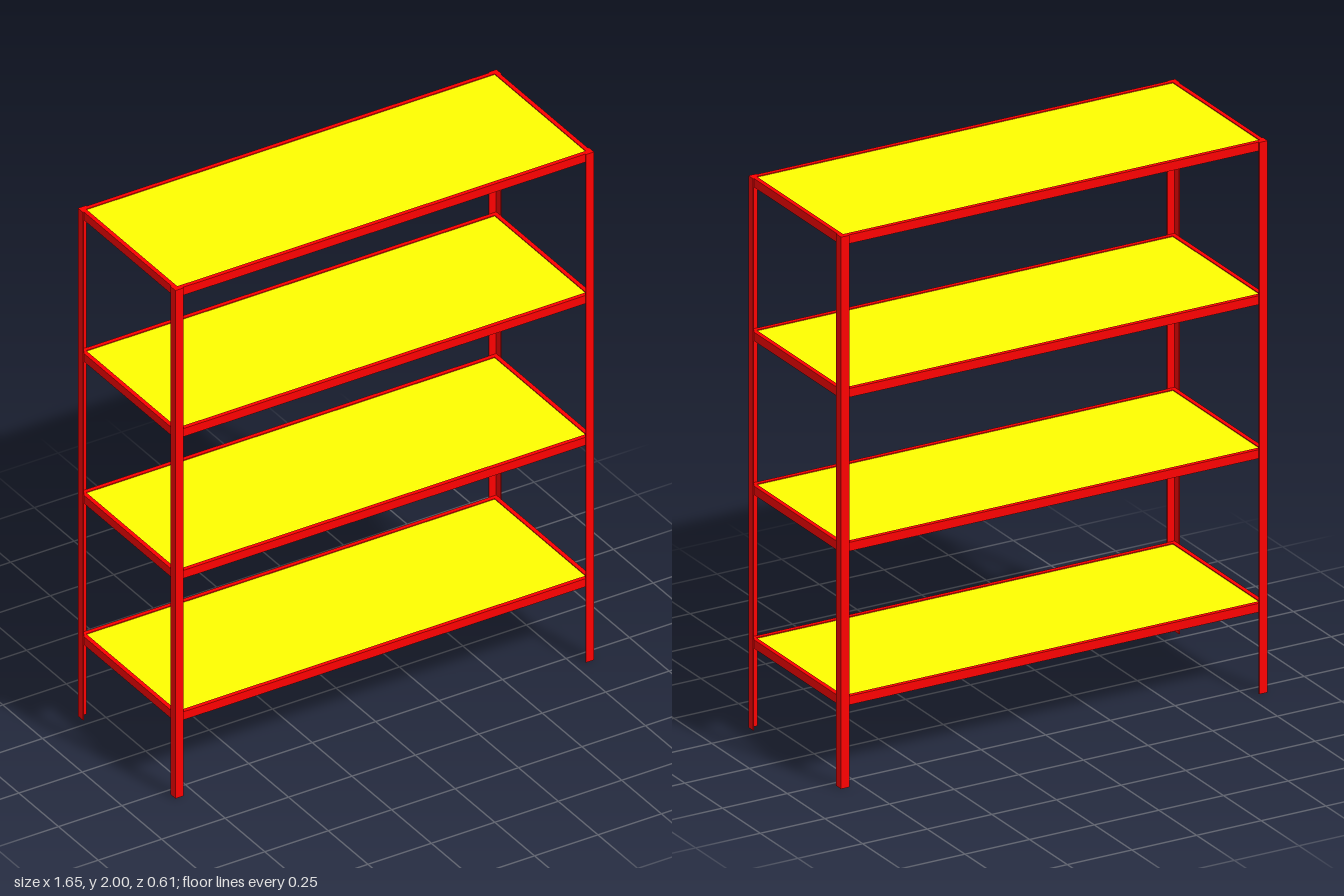
import * as THREE from 'three';

const HX = 0.825, HZ = 0.307, HEIGHT = 2; // outer half sizes
const ANGLE = 0.032, WALL = 0.004;        // corner post flange width and thickness
const RAIL_H = 0.032, RAIL_T = 0.016;
const LEVELS = [0.328, 0.885, 1.443, 2];  // top of each shelf frame

const red = new THREE.MeshStandardMaterial({ color: 0xff0000 });
const yellow = new THREE.MeshStandardMaterial({ color: 0xffff00 });

function box(name, material, size, position) {
  const mesh = new THREE.Mesh(new THREE.BoxGeometry(...size), material);
  mesh.name = name;
  mesh.position.set(...position);
  return mesh;
}

// L-shaped angle post, its two flanges on the outer faces of the corner
function cornerPost(sx, sz) {
  const corners = [[0, 0], [ANGLE, 0], [ANGLE, WALL], [WALL, WALL], [WALL, ANGLE], [0, ANGLE]];
  const shape = new THREE.Shape(
    corners.map(([u, v]) => new THREE.Vector2(sx * (HX - u), -sz * (HZ - v)))
  );
  const geometry = new THREE.ExtrudeGeometry(shape, { depth: HEIGHT, bevelEnabled: false });
  geometry.rotateX(-Math.PI / 2);
  const post = new THREE.Mesh(geometry, red);
  post.name = `${sz > 0 ? 'front' : 'back'}${sx > 0 ? 'Left' : 'Right'}Post`;
  return post;
}

// Rail frame fitted inside the posts, with a thin panel near its top
function shelf(top, index) {
  const group = new THREE.Group();
  group.name = `shelf${index + 1}`;
  const x = HX - WALL, z = HZ - WALL, y = top - RAIL_H / 2;
  for (const s of [1, -1]) {
    group.add(box(s > 0 ? 'frontRail' : 'backRail', red,
      [2 * x, RAIL_H, RAIL_T], [0, y, s * (z - RAIL_T / 2)]));
    group.add(box(s > 0 ? 'leftRail' : 'rightRail', red,
      [RAIL_T, RAIL_H, 2 * (z - RAIL_T)], [s * (x - RAIL_T / 2), y, 0]));
  }
  group.add(box('panel', yellow,
    [2 * (x - RAIL_T), 0.006, 2 * (z - RAIL_T)], [0, top - 0.006, 0]));
  return group;
}

export function createModel() {
  const model = new THREE.Group();
  model.name = 'shelvingRack';
  for (const sx of [1, -1]) for (const sz of [1, -1]) model.add(cornerPost(sx, sz));
  LEVELS.forEach((top, i) => model.add(shelf(top, i)));
  return model;
}
